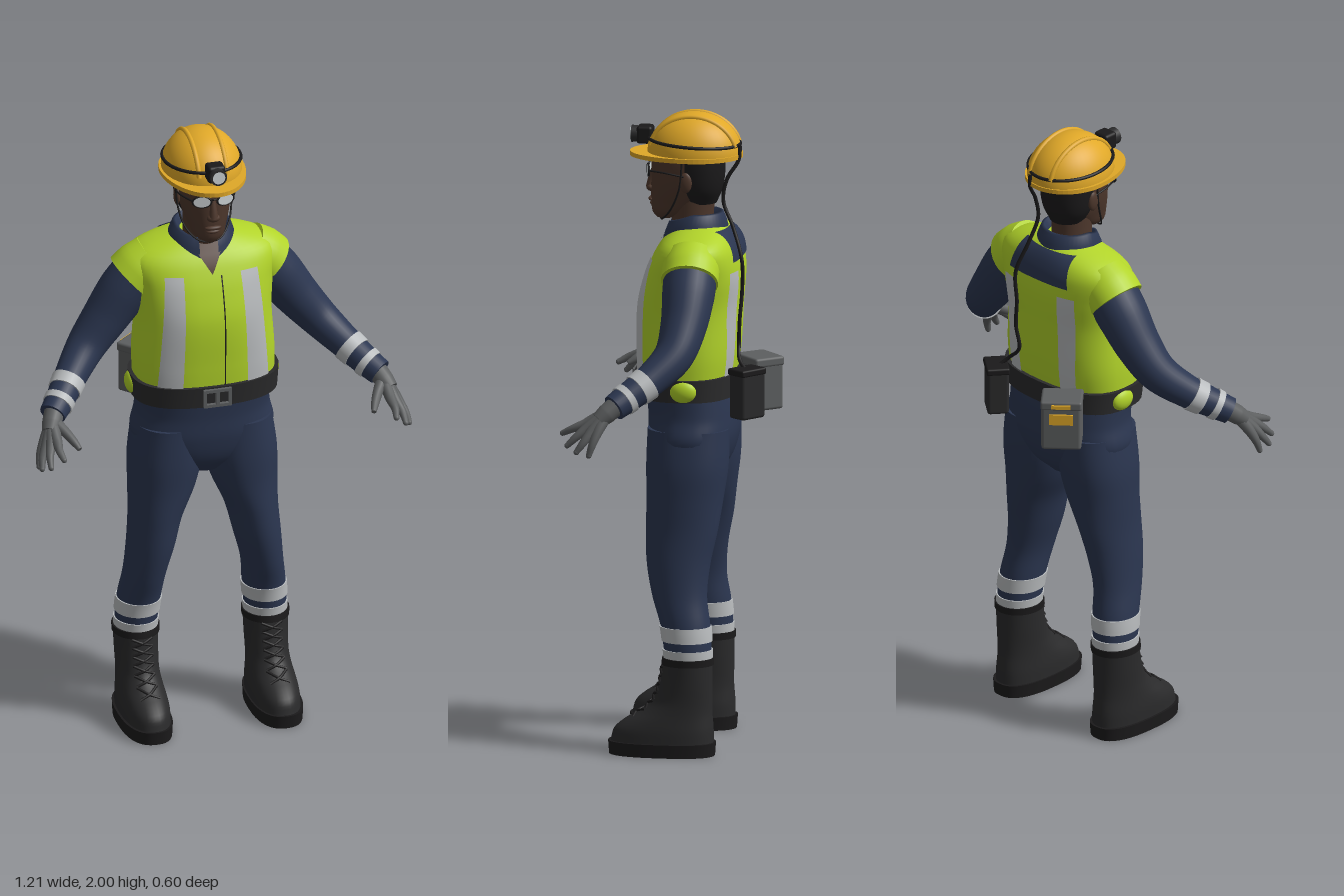
import * as THREE from 'three';
import { RoundedBoxGeometry } from 'three/addons/geometries/RoundedBoxGeometry.js';

const mat = (name, color, double) => {
  const m = new THREE.MeshStandardMaterial({ color });
  m.name = name;
  if (double) m.side = THREE.DoubleSide;
  return m;
};
const V = (x, y, z) => new THREE.Vector3(x, y, z);

// Surface through rows of points; columns wrap round when closed
function grid(rows, wrap = true) {
  const n = rows[0].length, idx = [];
  for (let i = 0; i < rows.length - 1; i++)
    for (let j = 0; j < (wrap ? n : n - 1); j++) {
      const k = (j + 1) % n, a = i * n + j, b = i * n + k;
      idx.push(a, a + n, b, b, a + n, b + n);
    }
  const g = new THREE.BufferGeometry().setFromPoints(rows.flat());
  g.setIndex(idx);
  g.computeVertexNormals();
  return g;
}

// Close both ends of a stack of rings with flat caps
function capped(rows) {
  const flat = (r) => {
    const c = r.reduce((s, p) => s.add(p), V(0, 0, 0)).divideScalar(r.length);
    return r.map(() => c.clone());
  };
  const a = rows[0], b = rows[rows.length - 1];
  return grid([flat(a), a, ...rows, b, flat(b)]);
}

// Smoothly interpolated section [y, cx, cz, rx, rz, power] at height y
function sample(S, y) {
  let i = 0;
  while (i < S.length - 2 && y > S[i + 1][0]) i++;
  const a = S[i], b = S[i + 1], h = b[0] - a[0], t = (y - a[0]) / h;
  const slope = (k, c) => {
    const p = S[Math.max(k - 1, 0)], q = S[Math.min(k + 1, S.length - 1)];
    return (q[c] - p[c]) / (q[0] - p[0]);
  };
  return a.map((_, c) => c === 0 ? y :
    (2 * t ** 3 - 3 * t * t + 1) * a[c] + (t ** 3 - 2 * t * t + t) * h * slope(i, c) +
    (3 * t * t - 2 * t ** 3) * b[c] + (t ** 3 - t * t) * h * slope(i + 1, c));
}

// Upright body of superellipse sections
function loft(S, y0 = S[0][0], y1 = S[S.length - 1][0], off = 0, steps = 28, n = 40) {
  const rows = [], pw = (v, e) => Math.sign(v) * Math.abs(v) ** e;
  for (let i = 0; i <= steps; i++) {
    const y = y0 + (y1 - y0) * i / steps, [, cx, cz, rx, rz, e] = sample(S, y);
    rows.push(Array.from({ length: n }, (_, j) => {
      const a = j / n * Math.PI * 2;
      return V(cx + (rx + off) * pw(Math.cos(a), 2 / e), y, cz + (rz + off) * pw(Math.sin(a), 2 / e));
    }));
  }
  return capped(rows);
}

// Thin panel on the front (s = 1) or back (s = -1) of a lofted body
function patch(S, s, y0, y1, range, off = 0.005) {
  const rows = [];
  for (let i = 0; i <= 24; i++) {
    const t = i / 24, y = y0 + (y1 - y0) * t, [, cx, cz, rx, rz, e] = sample(S, y), [xa, xb] = range(t);
    rows.push(Array.from({ length: 13 }, (_, j) => {
      const u = s > 0 ? 1 - j / 12 : j / 12, x = xa + (xb - xa) * u;
      const k = Math.min(1, Math.abs((x - cx) / (rx + off)));
      return V(x, y, cz + s * (rz + off) * (1 - k ** e) ** (1 / e));
    }));
  }
  return grid(rows, false);
}

// Tapered tube through [x, y, z, r] points, between parameters t0 and t1
function limb(P, t0 = 0, t1 = 1, off = 0, steps = 20, n = 20) {
  const curve = new THREE.CatmullRomCurve3(P.map((p) => V(p[0], p[1], p[2]))), rows = [];
  for (let i = 0; i <= steps; i++) {
    const t = t0 + (t1 - t0) * i / steps, f = t * (P.length - 1), k = Math.min(Math.floor(f), P.length - 2);
    const r = P[k][3] + (P[k + 1][3] - P[k][3]) * (f - k) + off;
    const c = curve.getPoint(t), T = curve.getTangent(t);
    const N = V(0, 0, 1).addScaledVector(T, -T.z).normalize(), B = N.clone().cross(T);
    rows.push(Array.from({ length: n }, (_, j) => {
      const a = j / n * Math.PI * 2;
      return c.clone().addScaledVector(N, r * Math.cos(a)).addScaledVector(B, r * Math.sin(a));
    }));
  }
  return capped(rows);
}
const cord = (pts, r, n = 40, closed = false) =>
  new THREE.TubeGeometry(new THREE.CatmullRomCurve3(pts.map((p) => V(...p)), closed), n, r, 8, closed);
const ball = (x, y, z, a, b, c) => new THREE.SphereGeometry(1, 24, 16).scale(a, b, c).translate(x, y, z);

export function createModel() {
  const root = new THREE.Group();
  root.name = 'worker';
  const yellow = mat('helmetYellow', 0xe0a828), lime = mat('vestLime', 0xb2d42a, true), navy = mat('overallNavy', 0x2b3650, true);
  const black = mat('leatherBlack', 0x2a2a2b), dark = mat('rubberDark', 0x1b1a1b), silver = mat('reflectiveSilver', 0xb9bcbe);
  const grey = mat('gloveGrey', 0x5d5f60), skin = mat('skinBrown', 0x4d372c), lens = mat('lensWhite', 0xcfd6d8);
  const add = (name, geo, m, parent = root) => {
    const o = new THREE.Mesh(geo, m);
    o.name = name;
    parent.add(o);
    return o;
  };

  // Torso, vest panels and belt
  const torso = [[1.15, 0, -0.02, 0.222, 0.146, 2.5], [1.25, 0, -0.025, 0.224, 0.155, 2.5], [1.4, 0, -0.03, 0.216, 0.16, 2.4],
    [1.5, 0, -0.045, 0.225, 0.15, 2.5], [1.57, 0, -0.055, 0.238, 0.13, 2.5], [1.605, 0, -0.06, 0.222, 0.112, 2.4],
    [1.632, 0, -0.065, 0.165, 0.09, 2.2], [1.65, 0, -0.065, 0.1, 0.07, 2]];
  add('vest', loft(torso, 1.15, 1.65, 0, 48), lime);
  add('backYoke', patch(torso, -1, 1.55, 1.642, (t) => [-0.125 + 0.02 * t, 0.125 - 0.02 * t]), navy);
  add('openNeck', patch(torso, 1, 1.555, 1.645, (t) => [-0.055 * t, 0.055 * t], 0.006), skin);
  add('vestZip', patch(torso, 1, 1.19, 1.55, () => [0.027, 0.031], 0.002), dark);
  for (const s of [1, -1]) {
    const band = (a, b, c, d) => (t) => [s * (a + (b - a) * t), s * (c + (d - c) * t)].sort((p, q) => p - q);
    add('frontStripe', patch(torso, 1, 1.185, 1.555, band(0.105, 0.092, 0.18, 0.15)), silver);
    add('backStripe', patch(torso, -1, 1.185, 1.52, band(0.085, 0.09, 0.14, 0.15)), silver);
    add('vestHemTuft', ball(s * 0.226, 1.155, -0.04, 0.022, 0.035, 0.042), lime);
  }
  const waist = [[1.12, 0, -0.025, 0.232, 0.158, 2.5], [1.19, 0, -0.022, 0.236, 0.162, 2.5]];
  add('belt', loft(waist, 1.12, 1.19, 0, 2), black);
  const buckle = new THREE.Shape([[-0.045, -0.03], [0.045, -0.03], [0.045, 0.03], [-0.045, 0.03]].map((p) => new THREE.Vector2(...p)));
  for (const s of [-1, 1])
    buckle.holes.push(new THREE.Path([[0.006, -0.02], [0.036, -0.02], [0.036, 0.02], [0.006, 0.02]].map(([x, y]) => new THREE.Vector2(s * x, y))));
  add('buckle', new THREE.ExtrudeGeometry(buckle, { depth: 0.012, bevelEnabled: false }), grey).position.set(0, 1.155, 0.137);

  // Trousers and boots
  const pelvis = [[0.85, 0, -0.035, 0.06, 0.07, 2], [0.9, 0, -0.038, 0.18, 0.112, 2.2], [0.98, 0, -0.041, 0.227, 0.136, 2.3],
    [1.06, 0, -0.04, 0.214, 0.139, 2.3], [1.14, 0, -0.03, 0.214, 0.137, 2.4]];
  add('hips', loft(pelvis), navy);
  for (const s of [1, -1]) {
    const leg = [[0.28, 0.21, -0.055, 0.064, 0.072, 2], [0.34, 0.208, -0.052, 0.067, 0.075, 2], [0.41, 0.202, -0.044, 0.068, 0.078, 2],
      [0.5, 0.19, -0.024, 0.066, 0.086, 2], [0.6, 0.172, -0.018, 0.074, 0.1, 2], [0.7, 0.155, -0.025, 0.083, 0.113, 2],
      [0.8, 0.133, -0.032, 0.104, 0.12, 2.1], [0.9, 0.121, -0.037, 0.115, 0.128, 2.2], [1.02, 0.112, -0.04, 0.108, 0.128, 2.2]]
      .map(([y, x, ...r]) => [y, s * x, ...r]);
    add('trouserLeg', loft(leg, 0.28, 1.02, 0, 40), navy);
    add('upperAnkleBand', loft(leg, 0.362, 0.408, 0.004, 4), silver);
    add('lowerAnkleBand', loft(leg, 0.302, 0.336, 0.004, 4), silver);
    const boot = [[0.04, 0.21, 0.028, 0.074, 0.162, 2.4], [0.08, 0.21, 0.022, 0.074, 0.156, 2.3], [0.11, 0.21, 0.006, 0.071, 0.138, 2.2],
      [0.135, 0.21, -0.014, 0.068, 0.116, 2.1], [0.17, 0.21, -0.034, 0.066, 0.096, 2], [0.23, 0.21, -0.047, 0.068, 0.083, 2],
      [0.31, 0.21, -0.054, 0.071, 0.077, 2]].map(([y, x, ...r]) => [y, s * x, ...r]);
    add('boot', loft(boot), black);
    add('bootCuff', loft(boot, 0.288, 0.31, 0.004, 3), dark);
    const sole = [[0, s * 0.211, 0.028, 0.078, 0.166, 2.5], [0.042, s * 0.211, 0.028, 0.08, 0.169, 2.5]];
    add('sole', loft(sole, 0, 0.042, 0, 2), dark);
    for (let i = 0; i < 6; i++) {
      const y = 0.12 + i * 0.028, at = (x, h) => {
        const [, , cz, rx, rz] = sample(boot, h);
        return [s * 0.21 + x, h, cz + rz * Math.sqrt(1 - (x / rx) ** 2) + 0.003];
      };
      for (const d of [1, -1]) add('lace', cord([at(-0.032 * d, y), at(0, y + 0.013), at(0.032 * d, y + 0.026)], 0.0045, 8), dark);
    }
  }

  // Sleeves, cuff bands and gloves
  for (const s of [1, -1]) {
    const m = (P) => P.map(([x, ...r]) => [s * x, ...r]);
    const arm = m([[0.17, 1.55, -0.058, 0.085], [0.245, 1.467, -0.06, 0.082], [0.31, 1.38, -0.055, 0.072], [0.375, 1.302, -0.035, 0.062],
      [0.44, 1.238, 0.025, 0.052], [0.495, 1.19, 0.09, 0.046], [0.53, 1.163, 0.128, 0.042]]);
    add('sleeve', limb(arm, 0, 1, 0, 40, 28), navy);
    add('upperCuffBand', limb(arm, 0.7, 0.765, 0.004, 5, 28), silver);
    add('lowerCuffBand', limb(arm, 0.83, 0.89, 0.004, 5, 28), silver);
    add('vestArmhole', limb(m([[0.15, 1.565, -0.058, 0.082], [0.19, 1.535, -0.059, 0.09], [0.222, 1.505, -0.06, 0.09]]), 0, 1, 0, 8, 28), lime);
    const glove = new THREE.Group();
    glove.name = 'glove';
    root.add(glove);
    add('gloveWrist', limb(m([[0.52, 1.172, 0.118, 0.032], [0.538, 1.145, 0.15, 0.031], [0.55, 1.125, 0.172, 0.026]])), grey, glove);
    const fingers = [[[0.54, 1.112, 0.213], [0.543, 1.096, 0.255], [0.538, 1.08, 0.288]], [[0.556, 1.104, 0.205], [0.57, 1.075, 0.24], [0.574, 1.048, 0.268]],
      [[0.566, 1.098, 0.19], [0.587, 1.06, 0.216], [0.594, 1.032, 0.236]], [[0.57, 1.094, 0.173], [0.588, 1.055, 0.187], [0.593, 1.022, 0.197]]];
    for (const f of fingers) {
      const root0 = V(0.538, 1.145, 0.15).lerp(V(...f[0]), 0.25).toArray();
      add('finger', limb(m([[...root0, 0.021], [...f[0], 0.017], [...f[1], 0.0125], [...f[2], 0.009]]), 0, 1, 0, 12, 12), grey, glove);
      add('fingertip', ball(s * f[2][0], f[2][1], f[2][2], 0.009, 0.009, 0.009), grey, glove);
    }
    add('thumb', limb(m([[0.528, 1.145, 0.155, 0.02], [0.505, 1.125, 0.19, 0.016], [0.487, 1.105, 0.223, 0.013], [0.476, 1.09, 0.248, 0.008]]), 0, 1, 0, 12, 12), grey, glove);
  }

  // Neck, collar and head
  add('neck', loft([[1.58, 0, -0.045, 0.066, 0.066, 2], [1.65, 0, -0.035, 0.06, 0.065, 2], [1.75, 0, -0.035, 0.06, 0.07, 2]]), skin);
  const collar = [[0.068, 1.66], [0.08, 1.688], [0.09, 1.685], [0.102, 1.655], [0.116, 1.605]].map(([r, y], k) =>
    Array.from({ length: 41 }, (_, j) => {
      const a = 0.42 - 0.04 * k + (Math.PI * 2 - 0.84 + 0.08 * k) * j / 40, front = Math.max(0, Math.cos(a));
      return V(r * Math.sin(a), y - 0.03 * front, -0.045 + r * 0.95 * Math.cos(a));
    }));
  add('collar', grid(collar, false), navy);
  add('head', loft([[1.664, 0, 0.05, 0.022, 0.028, 2], [1.68, 0, 0.036, 0.046, 0.055, 2.1], [1.72, 0, 0.008, 0.062, 0.088, 2.2],
    [1.76, 0, -0.01, 0.074, 0.106, 2.2], [1.8, 0, -0.015, 0.08, 0.11, 2.2], [1.86, 0, -0.02, 0.083, 0.112, 2.2], [1.92, 0, -0.025, 0.075, 0.1, 2]]), skin);
  add('hair', loft([[1.715, 0, -0.05, 0.055, 0.06, 2], [1.76, 0, -0.052, 0.078, 0.076, 2.1], [1.82, 0, -0.052, 0.087, 0.084, 2.1], [1.9, 0, -0.05, 0.088, 0.086, 2.1]]), dark);
  add('nose', limb([[0, 1.815, 0.088, 0.009], [0, 1.78, 0.096, 0.012], [0, 1.757, 0.099, 0.015]]), skin);
  add('noseTip', ball(0, 1.757, 0.096, 0.021, 0.013, 0.016), skin);
  add('upperLip', ball(0, 1.722, 0.092, 0.027, 0.008, 0.013), skin);
  add('lowerLip', ball(0, 1.708, 0.086, 0.024, 0.008, 0.014), skin);
  for (const s of [1, -1]) {
    add('ear', ball(s * 0.084, 1.79, -0.025, 0.01, 0.032, 0.02), skin);
    const eye = new THREE.Group();
    eye.name = 'eyepiece';
    eye.position.set(s * 0.038, 1.819, 0.1);
    eye.rotation.y = s * 0.25;
    root.add(eye);
    add('lens', new THREE.CylinderGeometry(1, 1, 0.004, 24).rotateX(Math.PI / 2).scale(0.028, 0.018, 1), lens, eye);
    add('lensFrame', new THREE.TorusGeometry(1, 0.12, 8, 28).scale(0.029, 0.019, 0.025), dark, eye);
    add('glassesArm', cord([[s * 0.066, 1.822, 0.092], [s * 0.086, 1.82, 0.04], [s * 0.09, 1.81, -0.02]], 0.003, 12), dark);
    add('chinStrap', cord([[s * 0.09, 1.87, -0.015], [s * 0.088, 1.77, -0.005], [s * 0.07, 1.7, 0.025], [s * 0.035, 1.665, 0.055], [0, 1.659, 0.066]], 0.003, 30), dark);
  }
  add('glassesBridge', cord([[-0.01, 1.823, 0.106], [0, 1.827, 0.109], [0.01, 1.823, 0.106]], 0.003, 6), dark);

  // Helmet with ribs, brim, strap and lamp
  const hy = 1.87, hz = -0.04;
  add('helmetShell', new THREE.SphereGeometry(1, 40, 20, 0, Math.PI * 2, 0, Math.PI / 2).scale(0.125, 0.13, 0.148).translate(0, hy, hz), yellow);
  const rim = Array.from({ length: 56 }, (_, i) => {
    const a = i / 56 * Math.PI * 2, c = Math.cos(a);
    return new THREE.Vector2(0.133 * Math.sin(a), -(hz + c * (c > 0 ? 0.203 : 0.151)));
  });
  add('helmetBrim', new THREE.ExtrudeGeometry(new THREE.Shape(rim), { depth: 0.014, bevelEnabled: false }).rotateX(-Math.PI / 2).translate(0, 1.861, 0), yellow);
  for (const x of [-0.045, 0.045]) {
    const k = Math.sqrt(1 - (x / 0.125) ** 2);
    add('helmetRib', cord(Array.from({ length: 17 }, (_, i) => {
      const a = 0.25 + (Math.PI - 0.5) * i / 16;
      return [x, hy + 0.13 * k * Math.sin(a), hz + 0.148 * k * Math.cos(a)];
    }), 0.008), yellow);
  }
  add('helmetStrap', cord(Array.from({ length: 24 }, (_, i) => {
    const a = i / 24 * Math.PI * 2;
    return [0.121 * Math.sin(a), 1.91 + 0.008 * Math.cos(a), hz + 0.143 * Math.cos(a)];
  }), 0.0055, 64, true), dark);
  add('lampBody', new RoundedBoxGeometry(0.056, 0.056, 0.05, 3, 0.01), dark).position.set(0, 1.925, 0.115);
  add('lampRing', new THREE.CylinderGeometry(0.027, 0.025, 0.022, 24).rotateX(Math.PI / 2), black).position.set(0, 1.925, 0.147);
  add('lampLens', new THREE.CylinderGeometry(0.02, 0.02, 0.004, 24).rotateX(Math.PI / 2), lens).position.set(0, 1.925, 0.159);
  add('lampCable', cord([[0.03, 1.905, -0.188], [0.035, 1.86, -0.185], [0.045, 1.8, -0.15], [0.045, 1.73, -0.138], [0.055, 1.65, -0.17], [0.08, 1.55, -0.202],
    [0.075, 1.45, -0.202], [0.085, 1.36, -0.196], [0.075, 1.28, -0.192], [0.11, 1.24, -0.2], [0.135, 1.21, -0.225]], 0.006, 80), dark);

  // Belt packs
  const pack = (name, x, y, z, nx, nz) => {
    const g = new THREE.Group();
    g.name = name;
    g.position.set(x, y, z);
    g.rotation.y = Math.atan2(nx, nz);
    root.add(g);
    return g;
  };
  const battery = pack('lampBattery', 0.138, 1.137, -0.228, 0.62, -0.78);
  add('batteryCase', new RoundedBoxGeometry(0.095, 0.15, 0.068, 3, 0.01), black, battery);
  add('batteryLid', new RoundedBoxGeometry(0.1, 0.022, 0.073, 2, 0.006), dark, battery).position.y = 0.073;
  const rescuer = pack('rescuePack', -0.142, 1.12, -0.222, -0.65, -0.75);
  add('packCase', new RoundedBoxGeometry(0.125, 0.165, 0.1, 3, 0.01), grey, rescuer);
  add('packLid', new RoundedBoxGeometry(0.13, 0.03, 0.106, 2, 0.008), grey, rescuer).position.y = 0.07;
  add('packLabel', new THREE.BoxGeometry(0.075, 0.035, 0.008), yellow, rescuer).position.set(0, 0.025, 0.052);
  add('packLatch', new THREE.BoxGeometry(0.06, 0.012, 0.012), yellow, rescuer).position.set(0, 0.07, 0.054);
  return root;
}
